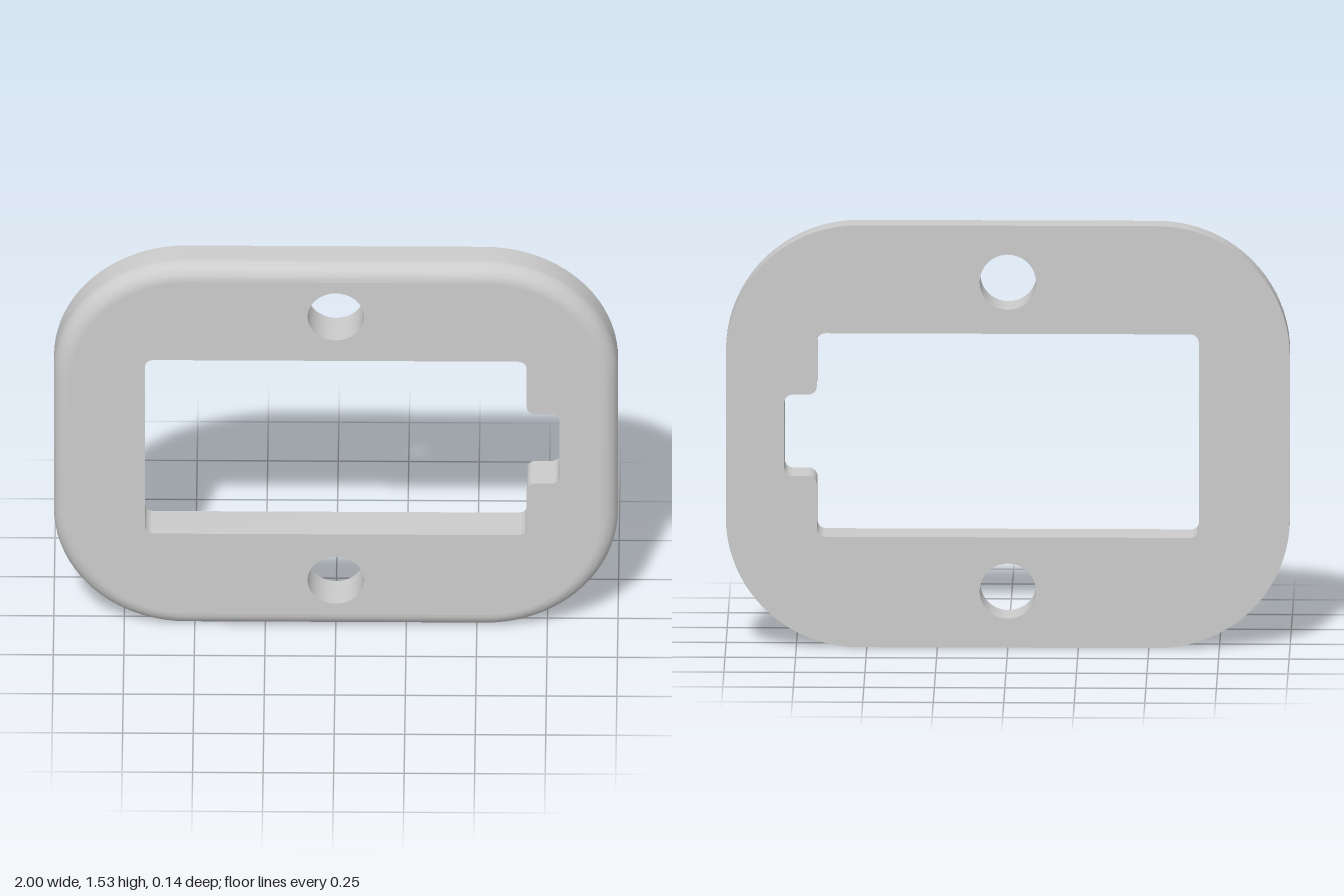
import * as THREE from 'three';
import { toCreasedNormals } from 'three/addons/utils/BufferGeometryUtils.js';

const W = 1, H = 1.53, CY = H / 2, Z = 0.0725; // half width, height, centre height, half depth
const CORNER = 0.47, FILLET = 0.06;

// Counter-clockwise right-angled polygon with every corner rounded by r
function rounded(corners, r, steps) {
  const pts = [];
  const p = corners.map(([x, y]) => new THREE.Vector2(x, y));
  p.forEach((c, i) => {
    const a = p[(i + p.length - 1) % p.length].clone().sub(c).normalize();
    const b = p[(i + 1) % p.length].clone().sub(c).normalize();
    for (let k = 0; k <= steps; k++) {
      const t = (k / steps) * Math.PI / 2;
      pts.push(c.clone().addScaledVector(a, r * (1 - Math.sin(t))).addScaledVector(b, r * (1 - Math.cos(t))));
    }
  });
  return pts;
}

const circle = (cx, cy, r, n = 40) => Array.from({ length: n }, (_, i) => {
  const t = (i / n) * Math.PI * 2;
  return new THREE.Vector2(cx + r * Math.cos(t), cy + r * Math.sin(t));
});

// Outer outline moved inward by d
const outline = (d) => rounded(
  [[-W + d, d], [W - d, d], [W - d, H - d], [-W + d, H - d]], CORNER - d, 20);

// Skin between successive closed rings { pts, z }
function loft(rings) {
  const pos = [], index = [], n = rings[0].pts.length;
  rings.forEach(({ pts, z }) => pts.forEach((p) => pos.push(p.x, p.y, z)));
  for (let k = 0; k < rings.length - 1; k++) {
    for (let i = 0; i < n; i++) {
      const j = (i + 1) % n, a = k * n + i, b = k * n + j;
      index.push(a, b, b + n, a, b + n, a + n);
    }
  }
  const g = new THREE.BufferGeometry();
  g.setAttribute('position', new THREE.Float32BufferAttribute(pos, 3));
  g.setIndex(index);
  return toCreasedNormals(g, 0.5);
}

// Flat plate face with its openings
function face(pts, holes, z, back) {
  const shape = new THREE.Shape(pts);
  holes.forEach((h) => shape.holes.push(new THREE.Path(h)));
  const g = new THREE.ShapeGeometry(shape).translate(0, 0, z);
  if (back) {
    g.index.array.reverse();
    g.computeVertexNormals();
  }
  return g;
}

export function createModel() {
  const group = new THREE.Group();
  group.name = 'coverPlate';
  const material = new THREE.MeshStandardMaterial({ color: 0xcccccc });
  const add = (name, geometry) => {
    const mesh = new THREE.Mesh(geometry, material);
    mesh.name = name;
    group.add(mesh);
  };

  // Openings: window with a side notch, and two screw holes
  const x = 0.677, notch = 0.793;
  const openings = {
    window: rounded([[-x, 0.4], [x, 0.4], [x, 0.62], [notch, 0.62],
      [notch, 0.915], [x, 0.915], [x, 1.138], [-x, 1.138]], 0.03, 6),
    upperScrewHole: circle(0, CY + 0.56, 0.1),
    lowerScrewHole: circle(0, CY - 0.56, 0.1),
  };
  const holes = Object.values(openings);

  // Outer rim: straight at the back, rounded over at the front
  const rim = [{ pts: outline(0), z: -Z }];
  for (let k = 0; k <= 10; k++) {
    const t = (k / 10) * Math.PI / 2;
    rim.push({ pts: outline(FILLET * (1 - Math.cos(t))), z: Z - FILLET * (1 - Math.sin(t)) });
  }
  add('outerRim', loft(rim));

  // Flat faces
  add('frontFace', face(outline(FILLET), holes, Z, false));
  add('backFace', face(outline(0), holes, -Z, true));

  // Inner walls of the openings
  for (const [name, pts] of Object.entries(openings)) {
    add(name + 'Wall', loft([{ pts, z: Z }, { pts, z: -Z }]));
  }
  return group;
}
